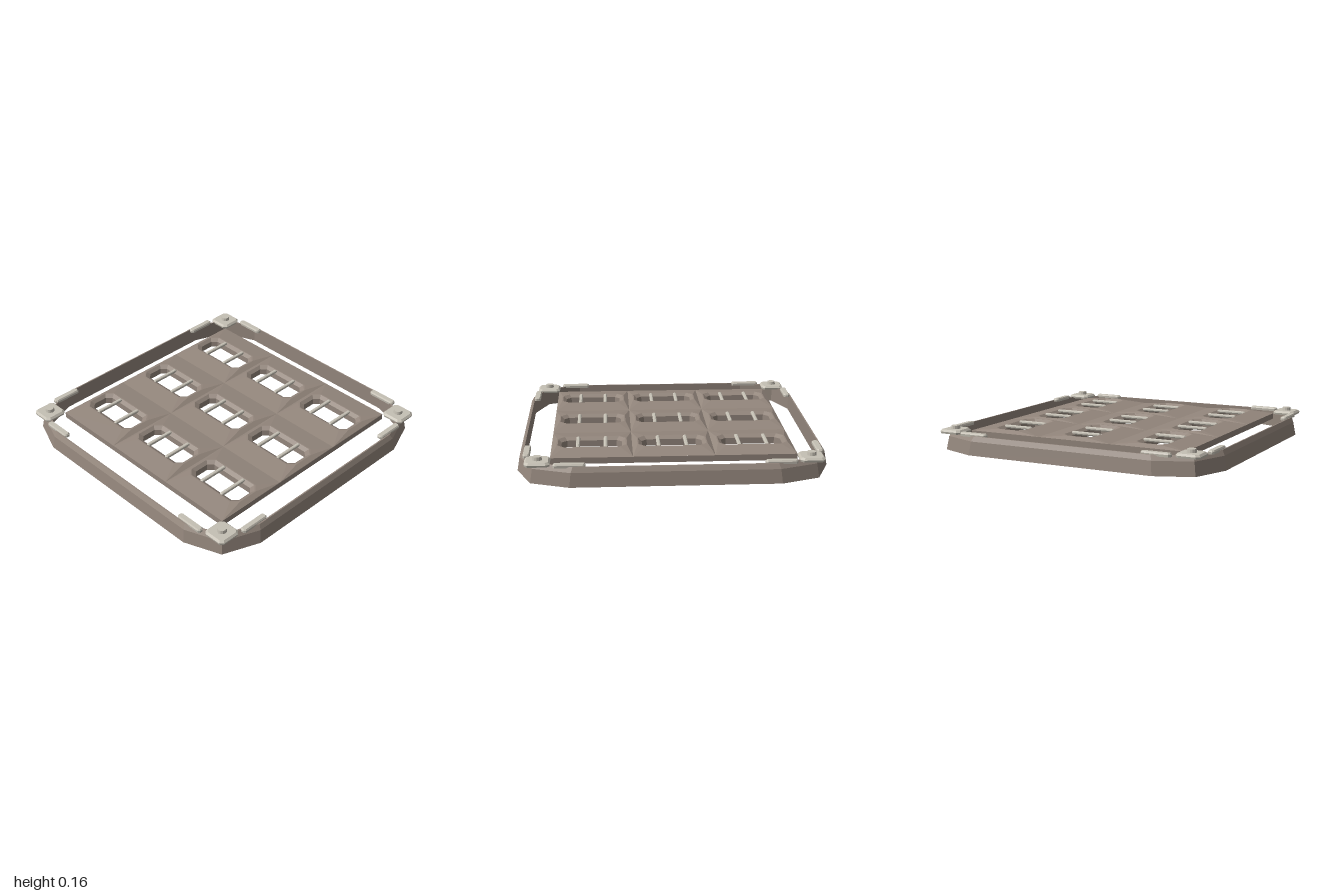
import * as THREE from 'three';
import { mergeGeometries } from 'three/addons/utils/BufferGeometryUtils.js';

const CELL = 0.523; // panel tile size

// Skin a series of equal-length loops (each point is [x, y, z]) with flat faces
function loft(loops) {
  const pos = [];
  const tri = (a, b, c) => pos.push(...a, ...b, ...c);
  for (let i = 0; i + 1 < loops.length; i++) {
    const lo = loops[i], hi = loops[i + 1], n = lo.length;
    for (let j = 0; j < n; j++) {
      const k = (j + 1) % n;
      tri(lo[j], hi[j], lo[k]);
      tri(hi[j], hi[k], lo[k]);
    }
  }
  const g = new THREE.BufferGeometry();
  g.setAttribute('position', new THREE.Float32BufferAttribute(pos, 3));
  g.computeVertexNormals();
  return g;
}

// Rectangle with clipped corners; c = 0 gives doubled corner points
function octagon(hx, hz, c, y) {
  return [
    [hx, y, hz - c], [hx - c, y, hz], [c - hx, y, hz], [-hx, y, hz - c],
    [-hx, y, c - hz], [c - hx, y, -hz], [hx - c, y, -hz], [hx, y, c - hz],
  ];
}

// Outer frame outline with long sides and angled corners
function frameLoop(s, y) {
  const quarter = [[1, 0.66], [0.905, 0.905], [0.66, 1]];
  const pts = [];
  for (let q = 0; q < 4; q++) {
    for (const [x, z] of quarter) {
      const [px, pz] = [[x, z], [-z, x], [-x, -z], [z, -x]][q];
      pts.push([px * s, y, pz * s]);
    }
  }
  return pts;
}

export function createModel() {
  const group = new THREE.Group();
  const brown = new THREE.MeshStandardMaterial({ color: 0x93867c });
  const pale = new THREE.MeshStandardMaterial({ color: 0xc5c0b4 });
  brown.name = 'warm grey brown';
  pale.name = 'pale stone';
  brown.flatShading = pale.flatShading = true;

  const add = (geometry, material, name, x = 0, y = 0, z = 0, parent = group) => {
    const mesh = new THREE.Mesh(geometry, material);
    mesh.name = name;
    mesh.position.set(x, y, z);
    parent.add(mesh);
    return mesh;
  };

  // Surrounding frame with a sloped outer wall
  add(loft([
    frameLoop(1, 0), frameLoop(0.985, 0.09), frameLoop(0.967, 0.122),
    frameLoop(0.958, 0.122), frameLoop(0.958, 0), frameLoop(1, 0),
  ]), brown, 'outerFrame');

  // Panel: nine raised tiles, each with a funnel-shaped slot, plus edge walls
  const h = CELL / 2;
  const tile = loft([
    octagon(h, h, 0, 0.12), octagon(0.228, 0.117, 0.045, 0.14),
    octagon(0.22, 0.109, 0.042, 0.14), octagon(0.197, 0.083, 0.034, 0.122),
    octagon(0.195, 0.081, 0.034, 0.08), octagon(h, h, 0, 0.08),
  ]);
  const e = CELL * 1.5;
  const panelParts = [loft([octagon(e, e, 0, 0.08), octagon(e, e, 0, 0.12)])];

  // Rounded bar with tapered ends
  const bar = loft([
    octagon(0.009, 0.1, 0.005, 0.124), octagon(0.013, 0.109, 0.008, 0.132),
    octagon(0.011, 0.106, 0.006, 0.141), octagon(0.006, 0.098, 0.003, 0.145),
    octagon(0, 0, 0, 0.145),
  ]);
  const bars = new THREE.Group();
  bars.name = 'slotBars';
  group.add(bars);
  for (let i = -1; i <= 1; i++) {
    for (let j = -1; j <= 1; j++) {
      panelParts.push(tile.clone().translate(i * CELL, 0, j * CELL));
      for (const s of [-1, 1]) add(bar, pale, 'slotBar', i * CELL + s * 0.09, 0, j * CELL, bars);
    }
  }
  add(mergeGeometries(panelParts), brown, 'slottedPanel');

  // Corner pads with bolts, and two edge clips beside each
  const pad = loft([
    octagon(0, 0, 0, 0.113), octagon(0.078, 0.078, 0.02, 0.113),
    octagon(0.081, 0.081, 0.022, 0.126), octagon(0.069, 0.069, 0.018, 0.139),
    octagon(0, 0, 0, 0.139),
  ]);
  const clip = loft([
    octagon(0, 0, 0, 0.113), octagon(0.1, 0.021, 0.01, 0.113),
    octagon(0.101, 0.022, 0.012, 0.128), octagon(0.094, 0.016, 0.008, 0.137),
    octagon(0, 0, 0, 0.137),
  ]);
  const sideClip = clip.clone().rotateY(Math.PI / 2);
  const bolt = new THREE.CylinderGeometry(0.028, 0.032, 0.026, 12);
  for (const sx of [-1, 1]) {
    for (const sz of [-1, 1]) {
      const corner = new THREE.Group();
      corner.name = 'cornerFitting';
      group.add(corner);
      add(pad, pale, 'cornerPad', sx * 0.86, 0, sz * 0.86, corner);
      add(bolt, pale, 'bolt', sx * 0.86, 0.148, sz * 0.86, corner);
      add(clip, pale, 'edgeClip', sx * 0.66, 0, sz * 0.938, corner);
      add(sideClip, pale, 'sideClip', sx * 0.936, 0, sz * 0.66, corner);
    }
  }
  return group;
}
